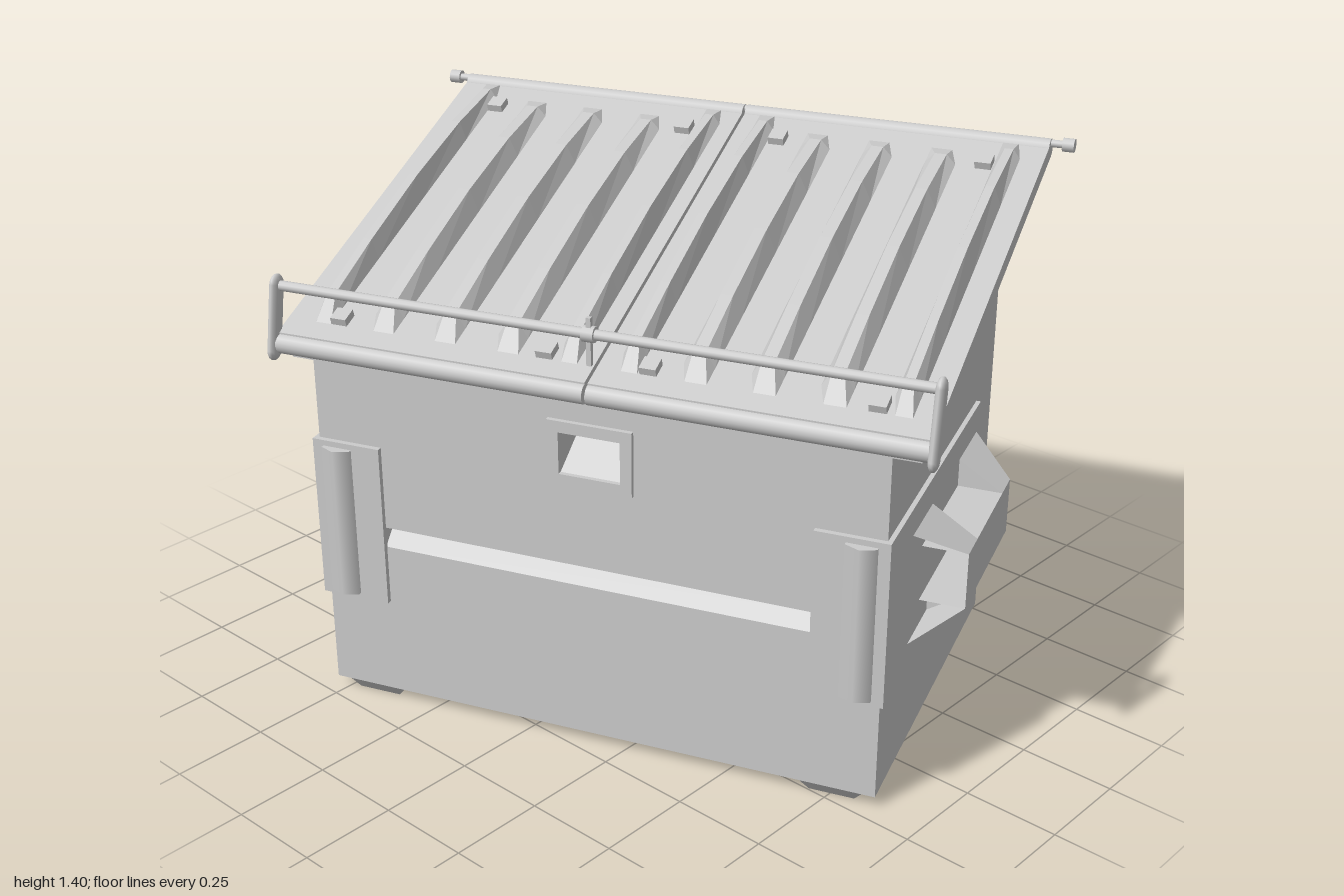
import * as THREE from 'three';

const steel = new THREE.MeshStandardMaterial({ color: 0xcccccc, side: THREE.DoubleSide });
steel.name = 'grey steel';

// Half width, front and back of the body; heights of the sloping lid
const W = 0.742, F = 0.491, B = -0.507, BASE = 0.03, MID = 0.018;
const lidBottom = (z) => 0.968 + (0.55 - z) * 0.332;
const lidTop = (z) => lidBottom(z) + 0.058;

function add(parent, name, geometry, x = 0, y = 0, z = 0) {
  const m = new THREE.Mesh(geometry, steel);
  m.name = name;
  m.position.set(x, y, z);
  parent.add(m);
  return m;
}

// Flat-faced surface from polygons, each a list of [x, y, z] corners
function faces(polys) {
  const p = [];
  for (const q of polys)
    for (let i = 1; i < q.length - 1; i++) p.push(...q[0], ...q[i], ...q[i + 1]);
  const g = new THREE.BufferGeometry();
  g.setAttribute('position', new THREE.Float32BufferAttribute(p, 3));
  g.computeVertexNormals();
  return g;
}

// Side profile of [z, y] points extruded from x0 to x1
function slab(x0, x1, profile) {
  const s = new THREE.Shape(profile.map(([z, y]) => new THREE.Vector2(z, y)));
  const g = new THREE.ExtrudeGeometry(s, { depth: x1 - x0, bevelEnabled: false });
  return g.rotateY(-Math.PI / 2).translate(x1, 0, 0);
}

// Upright wall with rectangular holes [x0, y0, x1, y1]
function wall(top, holes) {
  const rect = (T, x0, y0, x1, y1) => new T([[x0, y0], [x1, y0], [x1, y1], [x0, y1]].map((a) => new THREE.Vector2(...a)));
  const s = rect(THREE.Shape, -W, BASE, W, top);
  for (const h of holes) s.holes.push(rect(THREE.Path, ...h));
  return new THREE.ShapeGeometry(s);
}

function rod(parent, name, r, x0, x1, y, z, sides = 16) {
  const g = new THREE.CylinderGeometry(r, r, x1 - x0, sides).rotateZ(Math.PI / 2);
  return add(parent, name, g, (x0 + x1) / 2, y, z);
}

// Raised lid rib: tapered cross-sections following the slope with an arched top
function rib(z0, z1, width) {
  const stations = [[0, 0], [0.06, 0.024], [0.25, 0.048], [0.5, 0.058], [0.75, 0.05], [0.94, 0.036], [1, 0]];
  const rings = stations.map(([t, h]) => {
    const z = z0 + (z1 - z0) * t, y = lidTop(z);
    return [[-width / 2, y, z], [-width / 5, y + h, z], [width / 5, y + h, z], [width / 2, y, z]];
  });
  const polys = [];
  for (let i = 0; i < rings.length - 1; i++)
    for (let k = 0; k < 3; k++)
      polys.push([rings[i][k], rings[i + 1][k], rings[i + 1][k + 1], rings[i][k + 1]]);
  return faces(polys);
}

// V-shaped channel pressed into a wall
function groove(depth) {
  const a = 0.57, lo = 0.455, hi = 0.51, m = 0.49;
  return faces([
    [[-a, lo, 0], [a, lo, 0], [a, m, -depth], [-a, m, -depth]],
    [[-a, m, -depth], [a, m, -depth], [a, hi, 0], [-a, hi, 0]],
    [[-a, lo, 0], [-a, m, -depth], [-a, hi, 0]],
    [[a, lo, 0], [a, hi, 0], [a, m, -depth]],
  ]);
}

function buildBody(root) {
  const body = new THREE.Group();
  body.name = 'body';
  root.add(body);
  const slot = [-0.57, 0.455, 0.57, 0.51];
  add(body, 'frontWall', wall(lidBottom(F), [slot, [-0.075, 0.76, 0.085, 0.87]]), 0, 0, F);
  add(body, 'backWall', wall(lidBottom(B), [slot]).rotateY(Math.PI), 0, 0, B);
  add(body, 'frontGroove', groove(0.035), 0, 0, F);
  add(body, 'backGroove', groove(0.035).rotateY(Math.PI), 0, 0, B);
  for (const s of [1, -1]) {
    const c = [[s * W, BASE, F], [s * W, BASE, B], [s * W, lidBottom(B), B], [s * W, lidBottom(F), F]];
    add(body, 'sideWall', faces([s > 0 ? c : c.reverse()]));
  }
  add(body, 'floor', faces([[[-W, BASE, B], [W, BASE, B], [W, BASE, F], [-W, BASE, F]]]));

  // Recessed front handhold with a raised frame and sloping floor
  const l = -0.075, r = 0.085, b = 0.76, t = 0.87, d = -0.07;
  add(body, 'handhold', faces([
    [[l, b, 0], [r, b, 0], [r - 0.02, t - 0.02, d], [l + 0.02, t - 0.02, d]],
    [[l, t, 0], [l + 0.02, t - 0.02, d], [r - 0.02, t - 0.02, d], [r, t, 0]],
    [[l, b, 0], [l + 0.02, t - 0.02, d], [l, t, 0]],
    [[r, b, 0], [r, t, 0], [r - 0.02, t - 0.02, d]],
  ]), 0, 0, F);
  for (const y of [0.745, 0.885]) add(body, 'handholdFrame', new THREE.BoxGeometry(0.22, 0.03, 0.016), 0.005, y, F + 0.004);
  for (const x of [-0.09, 0.1]) add(body, 'handholdFrame', new THREE.BoxGeometry(0.03, 0.11, 0.016), x, 0.815, F + 0.004);

  // Tapered feet
  for (const x of [-0.627, 0.627]) for (const z of [-0.39, 0.44]) {
    const foot = new THREE.CylinderGeometry(Math.SQRT1_2, 0.5, BASE, 4).rotateY(Math.PI / 4);
    add(body, 'foot', foot.scale(0.165, 1, 0.095), x, BASE / 2, z);
  }
}

function buildSide(root, s) {
  const side = new THREE.Group();
  side.name = s > 0 ? 'leftPocket' : 'rightPocket';
  root.add(side);
  // Reinforcing plates wrapping the front corner
  add(side, 'sidePlate', new THREE.BoxGeometry(0.014, 0.44, 0.84), s * (W + 0.005), 0.515, 0.085);
  add(side, 'frontPlate', new THREE.BoxGeometry(0.185, 0.44, 0.016), s * 0.66, 0.515, F + 0.006);
  const ridge = new THREE.CylinderGeometry(0.045, 0.045, 0.41, 6).scale(1, 1, 0.75);
  add(side, 'frontRidge', ridge, s * 0.685, 0.515, F + 0.006);

  // Fork sleeve open at both ends
  const i = s * 0.745, o = s * 0.87, y0 = 0.435, y1 = 0.585, e = 0.215;
  const polys = [
    [[o, y0, e], [o, y0, -e], [o, y1, -e], [o, y1, e]],
    [[i, y1, e], [o, y1, e], [o, y1, -e], [i, y1, -e]],
    [[i, y0, e], [i, y0, -e], [o, y0, -e], [o, y0, e]],
  ];
  // Flared deflector at each corner of the sleeve
  for (const z of [1, -1]) for (const [ya, yb] of [[y1, 0.665], [y0, 0.355]]) {
    const a = [o, ya, z * e], b = [o, ya, z * 0.13], c = [i, yb, z * 0.13], d = [i, yb, z * 0.315];
    const quad = [a, b, c, d], end = [b, [i, ya, z * 0.13], c];
    if ((s * z * (ya === y1 ? 1 : -1)) > 0) end.reverse(); else quad.reverse();
    polys.push(quad, end);
  }
  if (s < 0) polys.slice(0, 3).forEach((q) => q.reverse());
  add(side, 'forkSleeve', faces(polys));
}

function buildLid(root) {
  const lid = new THREE.Group();
  lid.name = 'lid';
  lid.position.x = MID;
  root.add(lid);
  const z0 = -0.55, z1 = 0.54;
  // Rim under the lid, then two panels with a narrow seam
  const band = (za, zb, lo, hi) => [[za, lidBottom(za) + lo], [zb, lidBottom(zb) + lo], [zb, lidBottom(zb) + hi], [za, lidBottom(za) + hi]];
  add(lid, 'rim', slab(-0.8, 0.8, band(-0.535, 0.52, -0.018, 0.02)));
  for (const s of [1, -1]) {
    const panel = new THREE.Group();
    panel.name = s > 0 ? 'leftPanel' : 'rightPanel';
    lid.add(panel);
    const [a, b] = s > 0 ? [0.004, 0.825] : [-0.825, -0.004];
    add(panel, 'sheet', slab(a, b, band(z0, z1, 0.015, 0.058)));
    rod(panel, 'frontLip', 0.026, a, b, 1.0, 0.535);
    rod(panel, 'hingeTube', 0.026, a, b, 1.372, -0.54);
    for (const x of [0.076, 0.238, 0.405, 0.572, 0.735]) {
      const edge = x < 0.1 || x > 0.7;
      add(panel, 'rib', rib(edge ? -0.52 : -0.465, 0.485, edge ? 0.058 : 0.078), s * x);
    }
    // Small fixing blocks
    for (const x of [0.132, 0.683]) for (const z of [-0.42, 0.467]) {
      const block = add(panel, 'fixingBlock', new THREE.BoxGeometry(0.042, 0.024, 0.042), s * x, lidTop(z) + 0.008, z);
      block.rotation.x = Math.atan(0.332);
    }
    // Hinge end knob
    const k0 = s > 0 ? 0.855 : -0.885;
    rod(lid, 'hingeKnob', 0.018, k0, k0 + 0.03, 1.385, -0.545, 12);

    // Lock bar arm: a rounded link leaning forward at its foot
    const arm = new THREE.CapsuleGeometry(0.026, 0.165, 4, 12).scale(0.5, 1, 1);
    const m = add(lid, 'lockBarArm', arm, s * 0.832, 1.065, 0.532);
    m.rotation.x = -0.2;
  }
  rod(lid, 'hingeRod', 0.01, -0.87, 0.87, 1.385, -0.545, 12);
  rod(lid, 'lockBar', 0.013, -0.83, 0.83, 1.143, 0.515, 12);
  add(lid, 'lockBarClip', new THREE.BoxGeometry(0.012, 0.12, 0.012), 0, 1.125, 0.517);
  add(lid, 'lockBarCollar', new THREE.CylinderGeometry(0.02, 0.02, 0.03, 12).rotateZ(Math.PI / 2), 0, 1.143, 0.515);
}

export function createModel() {
  const model = new THREE.Group();
  model.name = 'wasteContainer';
  buildBody(model);
  buildSide(model, 1);
  buildSide(model, -1);
  buildLid(model);
  // The container stands turned on its base
  model.rotation.y = 0.356;
  const root = new THREE.Group();
  root.name = 'model';
  root.add(model);
  return root;
}
